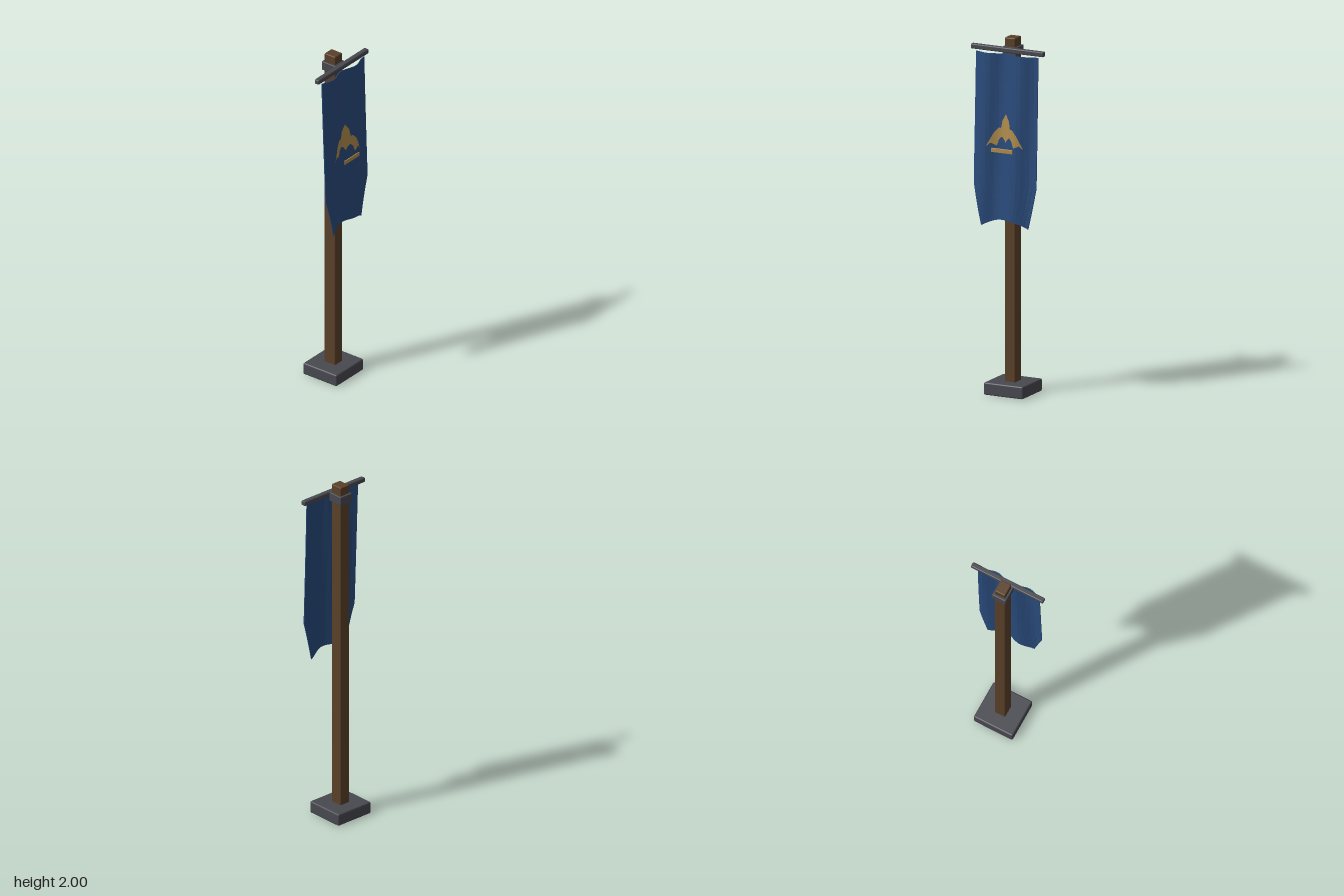
import * as THREE from 'three';
import { RoundedBoxGeometry } from 'three/addons/geometries/RoundedBoxGeometry.js';

const mat = (name, color) => {
  const m = new THREE.MeshStandardMaterial({ color });
  m.name = name;
  return m;
};

const TOP = 1.915, DROP = 0.925, HALF = 0.19;

// Depth of the folded cloth: the folds drift sideways and forward going down
function clothZ(x, y) {
  const t = (TOP - y) / DROP;
  return 0.068 + 0.019 * t + 0.013 * Math.cos(Math.PI * 2 * (x + 0.115 + 0.04 * t) / 0.2);
}

// Folded cloth with tapered lower corners and a raised middle hem
function clothGeometry() {
  let geo = new THREE.BoxGeometry(2, 1, 0.005, 16, 24, 1);
  const p = geo.attributes.position;
  for (let i = 0; i < p.count; i++) {
    const u = p.getX(i), t = 0.5 - p.getY(i);
    const taper = Math.max(0, (t - 0.79) / 0.21);
    const x = u * (HALF - 0.052 * taper);
    const y = TOP - t * DROP - 0.04 * u * u * taper;
    p.setXYZ(i, x, y, clothZ(x, y) + p.getZ(i));
  }
  geo = geo.toNonIndexed();
  geo.computeVertexNormals();
  return geo;
}

// Winged emblem lying on the cloth: [distance from centre, upper y, lower y]
const WING = [
  [0, 1.582, 1.422], [0.012, 1.562, 1.44], [0.026, 1.54, 1.452], [0.03, 1.5, 1.45],
  [0.045, 1.502, 1.435], [0.055, 1.492, 1.4], [0.075, 1.468, 1.408], [0.09, 1.438, 1.415],
  [0.1, 1.42, 1.405], [0.112, 1.395, 1.393],
];
function emblemGeometry() {
  const cols = 56, rows = 8;
  const geo = new THREE.PlaneGeometry(0.224, 1, cols, rows);
  const p = geo.attributes.position;
  for (let i = 0; i < p.count; i++) {
    const x = p.getX(i), a = Math.min(Math.abs(x), 0.112);
    let k = 0;
    while (k < WING.length - 2 && a > WING[k + 1][0]) k++;
    const [x0, hi0, lo0] = WING[k], [x1, hi1, lo1] = WING[k + 1];
    const f = (a - x0) / (x1 - x0);
    const hi = hi0 + (hi1 - hi0) * f, lo = lo0 + (lo1 - lo0) * f;
    const y = lo + (hi - lo) * (p.getY(i) + 0.5);
    p.setXYZ(i, x, y, clothZ(x, y) + 0.005);
  }
  geo.computeVertexNormals();
  return geo;
}

export function createModel() {
  const group = new THREE.Group();
  const wood = mat('brown wood', 0x5a4029);
  const iron = mat('dark iron', 0x484850);
  const blue = mat('blue cloth', 0x294b7c);
  const gold = mat('dull gold', 0xb08c4c);

  const add = (name, geo, material) => {
    const mesh = new THREE.Mesh(geo, material);
    mesh.name = name;
    group.add(mesh);
    return mesh;
  };
  // Softly bevelled box given by its extents
  const block = (name, material, [x0, x1], [y0, y1], [z0, z1], r) =>
    add(name, new RoundedBoxGeometry(x1 - x0, y1 - y0, z1 - z0, 2, r), material)
      .position.set((x0 + x1) / 2, (y0 + y1) / 2, (z0 + z1) / 2);

  // Stand
  block('base', iron, [-0.12, 0.12], [0, 0.07], [-0.125, 0.106], 0.008);
  block('pole', wood, [-0.032, 0.032], [0.06, 2], [-0.046, 0.028], 0.005);

  // Fittings at the top
  block('bracket', iron, [-0.042, 0.042], [1.898, 1.95], [-0.058, 0.035], 0.004);
  block('crossbar', iron, [-0.223, 0.223], [1.923, 1.951], [0.034, 0.063], 0.006);

  // Banner and its emblem
  add('banner', clothGeometry(), blue);
  add('emblemWings', emblemGeometry(), gold);
  block('emblemBar', gold, [-0.065, 0.065], [1.373, 1.397], [0.117, 0.123], 0.002);

  return group;
}
